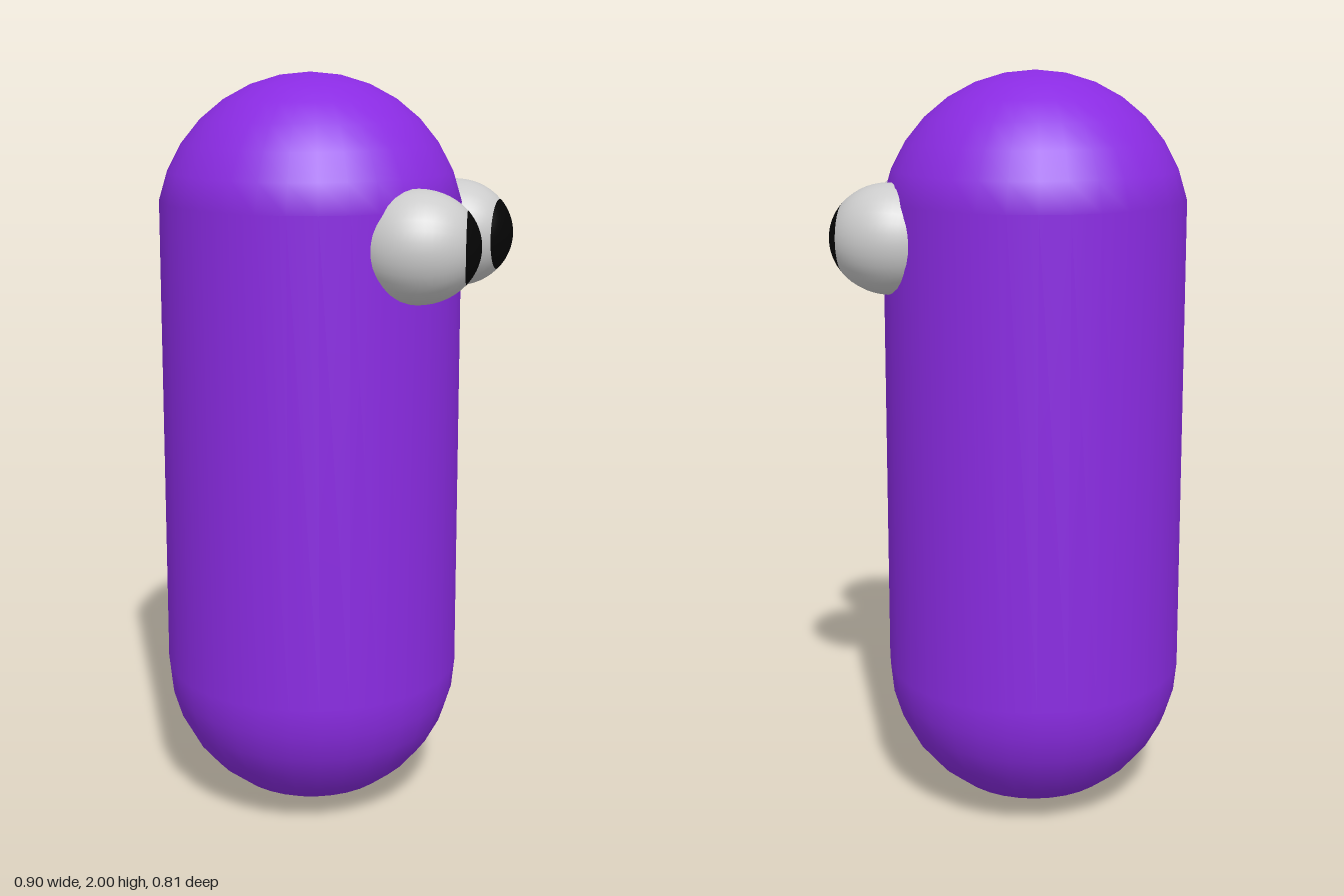
import * as THREE from 'three';

const R = 0.403;      // body radius
const SEG = 32;       // sides around the body

export function createModel() {
  const model = new THREE.Group();
  model.name = 'capsuleCharacter';

  const purple = new THREE.MeshStandardMaterial({ color: 0x8a2be2 });
  const grey = new THREE.MeshStandardMaterial({ color: 0xcccccc });
  const black = new THREE.MeshStandardMaterial({ color: 0x050505 });

  // Body: two rounded ends joined by a slightly tapering side
  const step = Math.PI / 16;
  const profile = [];
  for (let i = -8; i <= 8; i++) {
    if (i > 0 || i <= 0) {
      const y = (i <= 0 ? R : 2 - R) + R * Math.sin(i * step);
      profile.push(new THREE.Vector2(Math.abs(i) === 8 ? 0 : R * Math.cos(i * step), y));
    }
  }
  const body = new THREE.Mesh(new THREE.LatheGeometry(profile, SEG), purple);
  body.name = 'body';
  body.position.x = -0.05;
  model.add(body);

  // Eyes: egg-shaped balls whose outer cap is the pupil
  const cap = 0.7;
  const eyePart = (name, start, length, material) => {
    const geometry = new THREE.SphereGeometry(1, 32, 20, 0, Math.PI * 2, start, length);
    geometry.rotateZ(-Math.PI / 2);
    geometry.scale(0.157, 0.1425, 0.136);
    const mesh = new THREE.Mesh(geometry, material);
    mesh.name = name;
    return mesh;
  };
  const addEye = (name, y, z, yaw) => {
    const eye = new THREE.Group();
    eye.name = name;
    eye.add(eyePart('eyeball', cap, Math.PI - cap, grey), eyePart('pupil', 0, cap, black));
    eye.position.set(0.294, y, z);
    eye.rotation.y = yaw;
    model.add(eye);
  };
  addEye('frontEye', 1.587, 0.178, 0.22);
  addEye('backEye', 1.583, -0.173, 0);

  return model;
}
